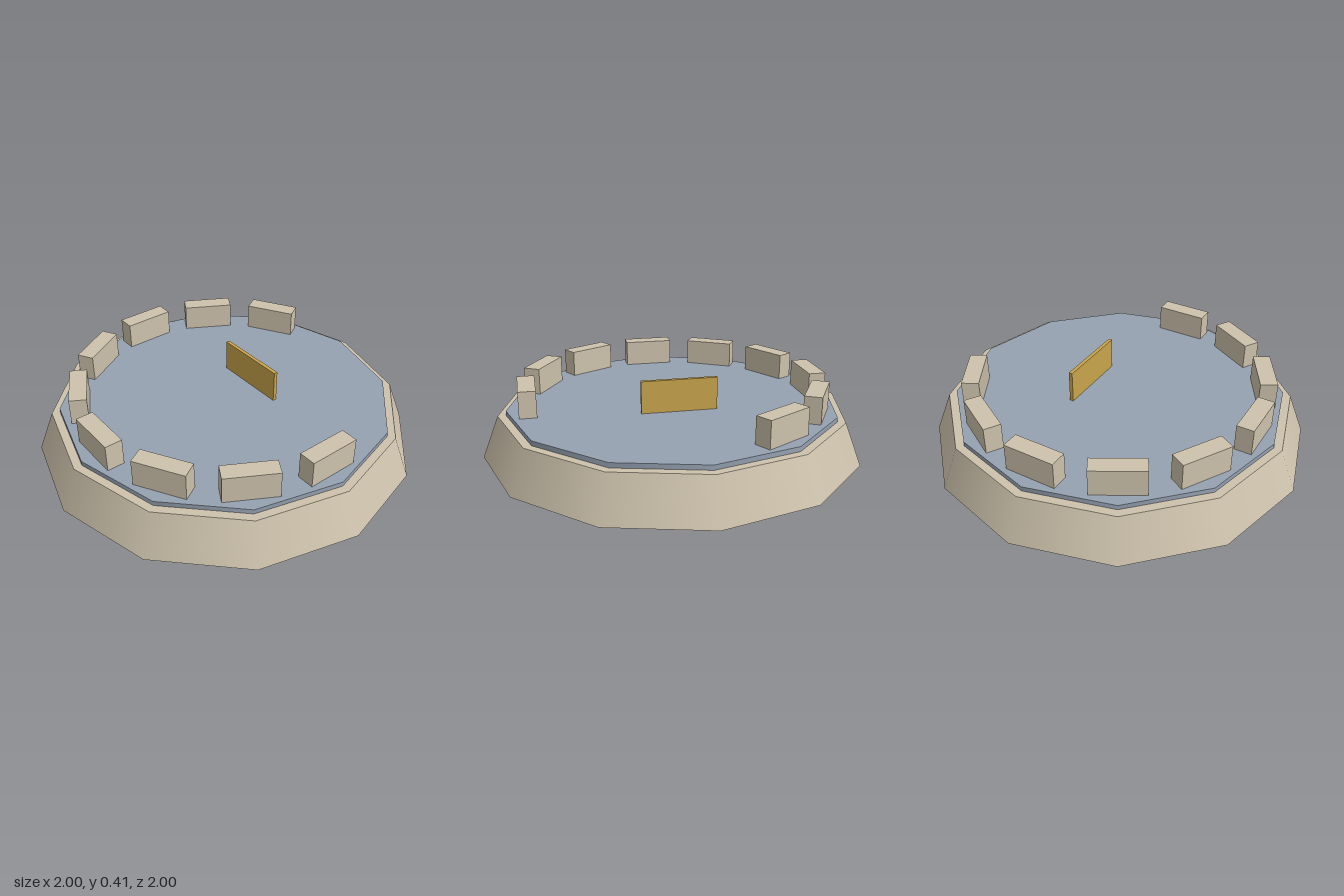
import * as THREE from 'three';

const SIDES = 12, DECK_Y = 0.245;

export function createModel() {
  const model = new THREE.Group();
  model.name = 'roundPlatform';
  const material = (name, color) => {
    const m = new THREE.MeshStandardMaterial({ color });
    m.name = name;
    return m;
  };
  const stone = material('stone', 0xcdc2ac);
  const slate = material('slateBlue', 0x96a2b2);
  const gold = material('gold', 0xc9a54c);

  const add = (name, geometry, mat, x, y, z) => {
    const mesh = new THREE.Mesh(geometry, mat);
    mesh.name = name;
    mesh.position.set(x, y, z);
    model.add(mesh);
    return mesh;
  };

  // Tapered twelve-sided base with a raised deck
  add('base', new THREE.CylinderGeometry(0.913, 1, 0.22, SIDES), stone, 0, 0.11, 0);
  add('deck', new THREE.CylinderGeometry(0.87, 0.87, 0.035, SIDES), slate, 0, DECK_Y - 0.0175, 0);

  // Parapet blocks around the rim, open toward the back left
  const block = new THREE.BoxGeometry(0.27, 0.14, 0.09);
  for (let i = -5; i <= 3; i++) {
    const a = i * Math.PI / 6;
    const mesh = add('parapetBlock', block, stone, Math.sin(a) * 0.76, DECK_Y + 0.07, Math.cos(a) * 0.76);
    mesh.rotation.y = a;
  }

  // Upright panel standing on the deck
  add('uprightPanel', new THREE.BoxGeometry(0.395, 0.17, 0.02), gold, 0, DECK_Y + 0.085, -0.175);

  return model;
}
